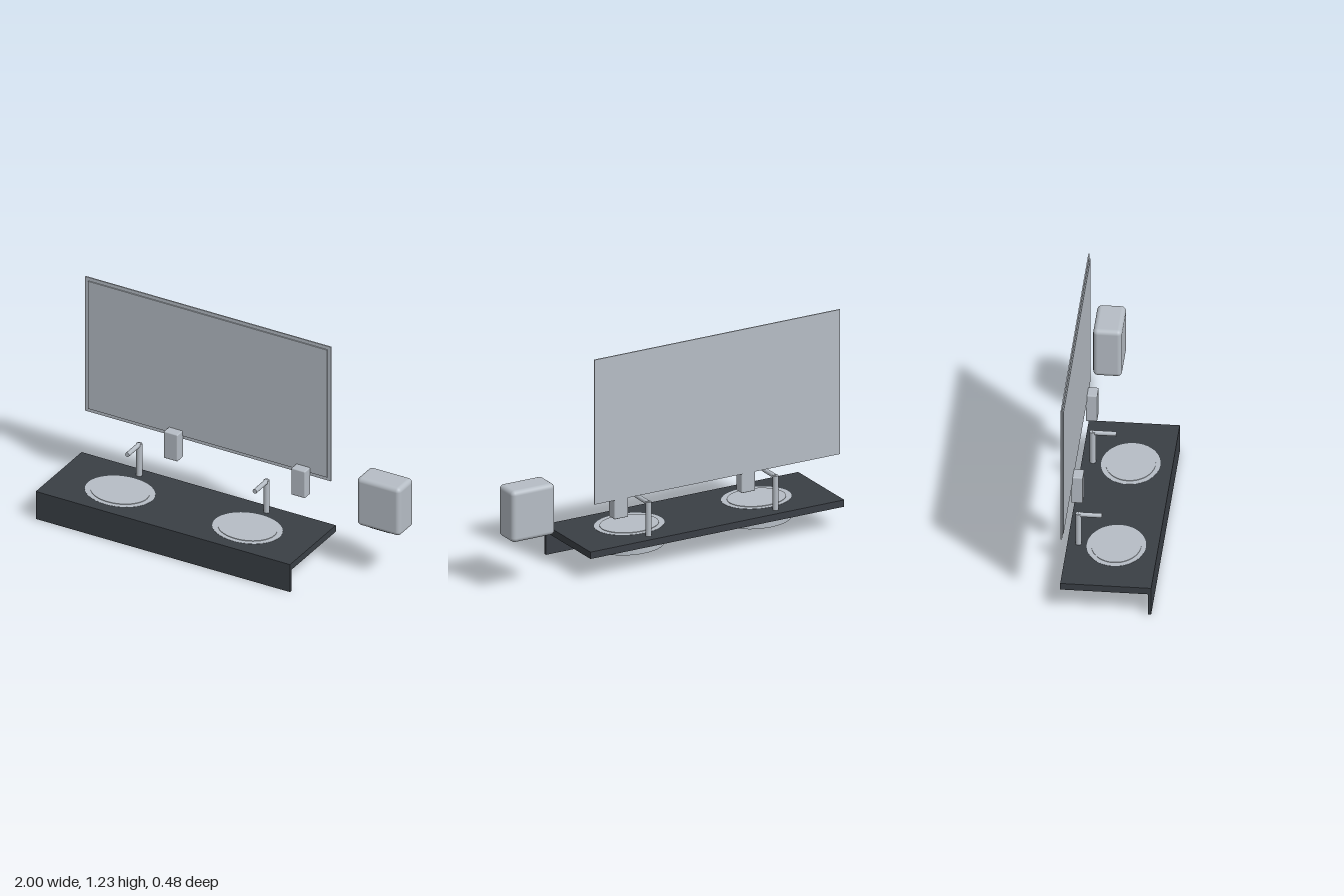
import * as THREE from 'three';
import { RoundedBoxGeometry } from 'three/addons/geometries/RoundedBoxGeometry.js';

const material = (name, color, flatShading = false) => {
  const m = new THREE.MeshStandardMaterial({ color, flatShading });
  m.name = name;
  return m;
};

export function createModel() {
  const model = new THREE.Group();
  model.name = 'washroomVanity';
  const stone = material('dark stone', 0x3a3f45);
  const steel = material('pale steel', 0xb6bdc5);
  const ceramic = material('pale ceramic', 0xb6bdc5, true);
  const black = material('black plastic', 0x24272a);

  const add = (name, geometry, mat, parent = model) => {
    const mesh = new THREE.Mesh(geometry, mat);
    mesh.name = name;
    parent.add(mesh);
    return mesh;
  };

  // Box given by its limits on each axis, rounded when a radius is given
  const box = (name, mat, [x0, x1], [y0, y1], [z0, z1], radius = 0) => {
    const size = [x1 - x0, y1 - y0, z1 - z0];
    const geometry = radius
      ? new RoundedBoxGeometry(...size, 4, radius)
      : new THREE.BoxGeometry(...size);
    geometry.translate((x0 + x1) / 2, (y0 + y1) / 2, (z0 + z1) / 2);
    return add(name, geometry, mat);
  };

  // Elliptical upright cylinder between two heights
  const oval = (name, mat, rx, rz, y0, y1, parent) => {
    const geometry = new THREE.CylinderGeometry(1, 1, y1 - y0, 40);
    geometry.scale(rx, 1, rz).translate(0, (y0 + y1) / 2, 0);
    return add(name, geometry, mat, parent);
  };

  // Countertop with a front apron
  box('countertop', stone, [-1, 0.53], [0.127, 0.165], [-0.238, 0.238]);
  box('frontApron', stone, [-1, 0.53], [0, 0.127], [0.222, 0.238]);

  // Mirror: backing panel and slightly smaller glass
  box('mirrorBacking', steel, [-0.975, 0.505], [0.425, 1.23], [-0.238, -0.231]);
  box('mirrorGlass', steel, [-0.955, 0.485], [0.445, 1.21], [-0.231, -0.225]);

  // Two wash places, each with basin, faucet and soap dispenser
  for (const x of [-0.62, 0.147]) {
    const basin = new THREE.Group();
    basin.name = 'basin';
    basin.position.set(x, 0, 0.019);
    model.add(basin);
    oval('basinBody', ceramic, 0.193, 0.155, 0.052, 0.166, basin);
    oval('basinInset', ceramic, 0.162, 0.13, 0.166, 0.169, basin);

    const faucet = new THREE.Group();
    faucet.name = 'faucet';
    faucet.position.set(x, 0, -0.18);
    model.add(faucet);
    const post = new THREE.CylinderGeometry(0.016, 0.016, 0.19, 24);
    add('faucetPost', post.translate(0, 0.26, 0), steel, faucet);
    const spout = new THREE.CylinderGeometry(0.0125, 0.0125, 0.124, 20);
    spout.rotateX(Math.PI / 2).translate(0, 0.348, 0.062);
    add('faucetSpout', spout, steel, faucet);

    box('soapDispenser', steel, [x + 0.151, x + 0.235], [0.315, 0.475], [-0.232, -0.172], 0.006);
  }

  // Wall hand dryer with its air outlet underneath
  box('handDryer', steel, [0.739, 1], [0.3, 0.586], [-0.238, -0.087], 0.025);
  box('dryerOutlet', black, [0.81, 0.925], [0.29, 0.306], [-0.169, -0.117]);

  return model;
}
